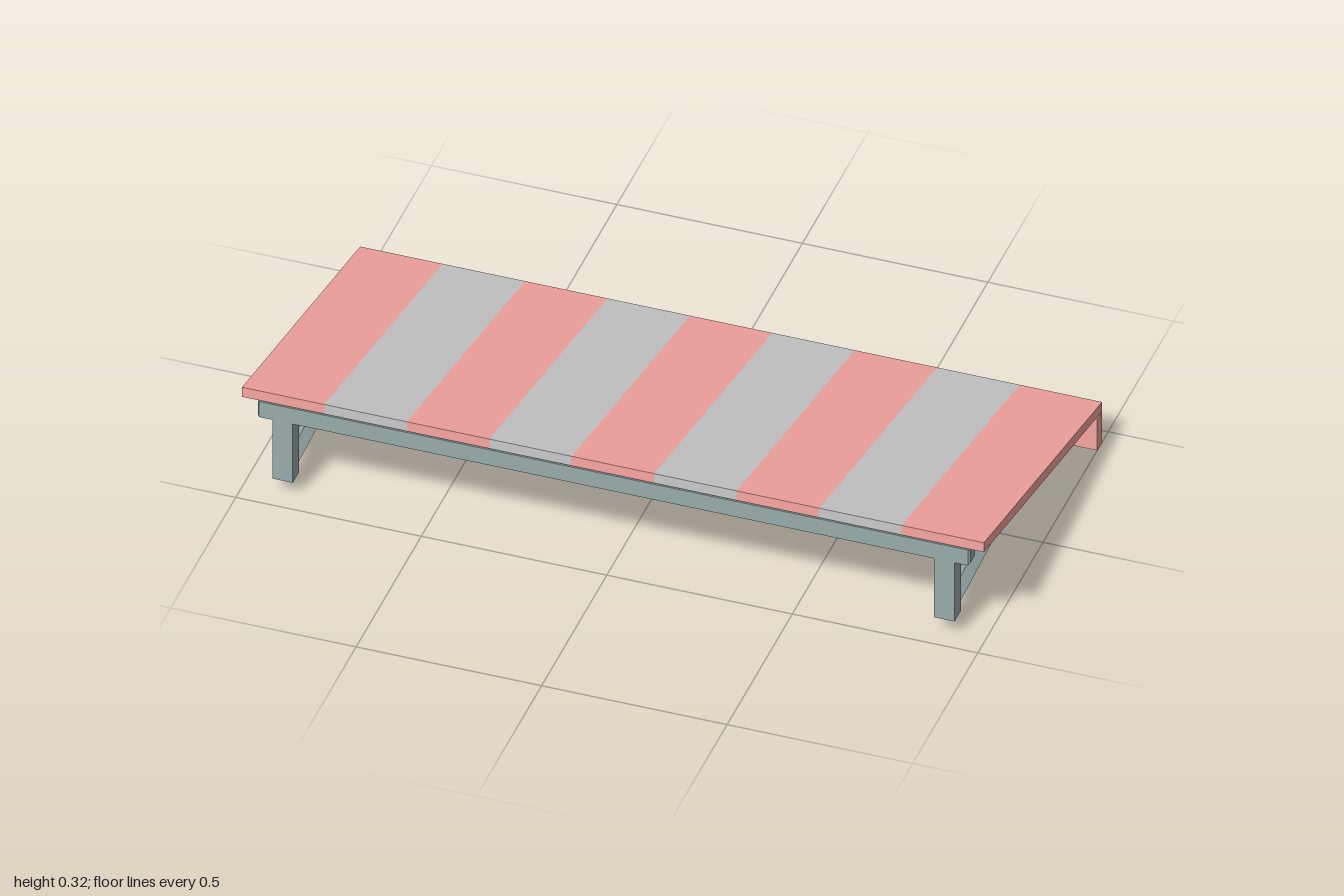
import * as THREE from 'three';

const material = (color) => new THREE.MeshStandardMaterial({ color, flatShading: true });

// Extrudes a (z, y) outline along x, centred on x = 0
function profileAlongX(points, width, bevel = 0) {
  const shape = new THREE.Shape(points.map(([z, y]) => new THREE.Vector2(-z, y)));
  const geometry = new THREE.ExtrudeGeometry(shape, {
    depth: width - 2 * bevel,
    bevelEnabled: bevel > 0,
    bevelSize: bevel,
    bevelThickness: bevel,
    bevelOffset: -bevel,
    bevelSegments: 1,
  });
  geometry.translate(0, 0, -width / 2 + bevel);
  geometry.rotateY(Math.PI / 2);
  return geometry;
}

export function createModel() {
  const model = new THREE.Group();
  model.name = 'awning';
  const red = material(0xfaa8a3);
  const grey = material(0xcccccc);
  const metal = material(0x9aadab);

  const add = (parent, name, geometry, mat, x = 0, y = 0, z = 0) => {
    const mesh = new THREE.Mesh(geometry, mat);
    mesh.name = name;
    mesh.position.set(x, y, z);
    parent.add(mesh);
    return mesh;
  };

  // Striped sloping canopy with a hanging valance
  const canopy = new THREE.Group();
  canopy.name = 'canopy';
  model.add(canopy);
  const count = 9;
  const width = 2 / count;
  const slope = profileAlongX(
    [[0.453, 0.286], [0.453, 0.316], [-0.453, 0.127], [-0.453, 0.097]], width);
  const flap = new THREE.BoxGeometry(width, 0.097, 0.038);
  for (let i = 0; i < count; i++) {
    const x = -1 + width * (i + 0.5);
    const mat = i % 2 ? grey : red;
    add(canopy, 'canopyStripe', slope, mat, x);
    add(canopy, 'valanceStripe', flap, mat, x, 0.0485, -0.434);
  }

  // Front rail with chamfered edges
  const rail = profileAlongX(
    [[0.449, 0.23], [0.449, 0.279], [0.401, 0.279], [0.401, 0.23]], 1.92, 0.005);
  add(model, 'frontRail', rail, metal);

  // Posts and diamond-section braces at both ends
  const post = new THREE.BoxGeometry(0.055, 0.232, 0.05);
  const braceShape = new THREE.Shape([
    new THREE.Vector2(0.0225, 0), new THREE.Vector2(0, 0.0225),
    new THREE.Vector2(-0.0225, 0), new THREE.Vector2(0, -0.0225),
  ]);
  const brace = new THREE.ExtrudeGeometry(braceShape, { depth: 0.77, bevelEnabled: false });
  // Shear so the brace rises towards the back while its ends stay upright
  brace.applyMatrix4(new THREE.Matrix4().set(
    1, 0, 0, 0,
    0, 1, -0.067, 0.0915,
    0, 0, 1, 0,
    0, 0, 0, 1));
  for (const side of [-1, 1]) {
    const support = new THREE.Group();
    support.name = side > 0 ? 'leftSupport' : 'rightSupport';
    support.position.x = side * 0.892;
    model.add(support);
    add(support, 'post', post, metal, 0, 0.16, 0.424);
    add(support, 'brace', brace, metal, 0, 0.025, -0.358);
  }

  return model;
}
